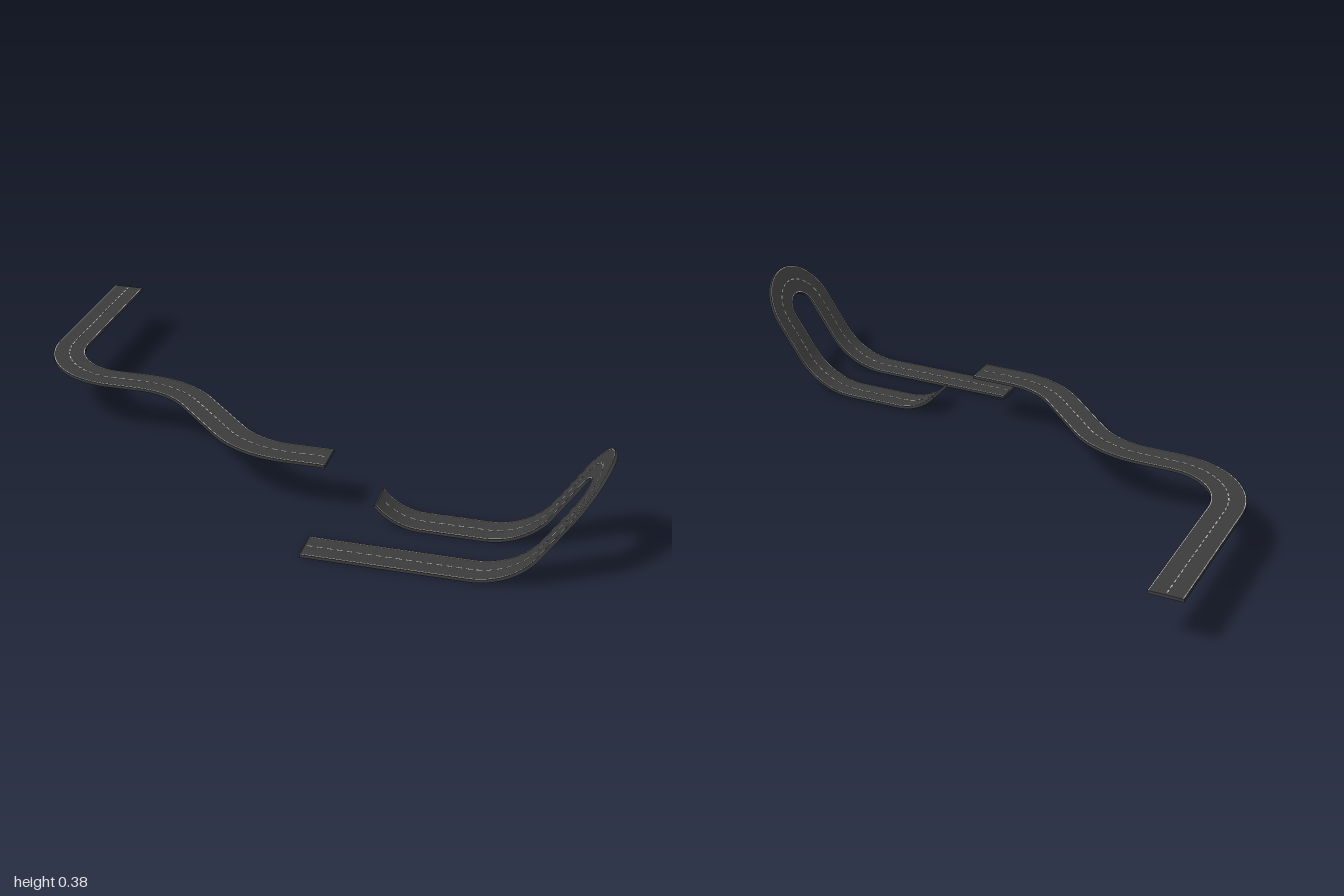
import * as THREE from 'three';
import { toCreasedNormals } from 'three/addons/utils/BufferGeometryUtils.js';

const HALF = 0.054, THICK = 0.01;
const asphalt = new THREE.MeshStandardMaterial({ color: 0x3c3c3c });
const paint = new THREE.MeshStandardMaterial({ color: 0xb8b8b8 });
const rad = THREE.MathUtils.degToRad;

// Segments: straight run, sideways turn (left positive), upward bend
const straight = (len) => ({ kind: 'straight', len });
const turn = (deg, r) => ({ kind: 'turn', angle: rad(deg), r, len: rad(Math.abs(deg)) * r });
const climb = (deg, r) => ({ kind: 'climb', angle: rad(deg), r, len: rad(Math.abs(deg)) * r });

// Move a frame {p, t, u} part-way (0..1) along a segment
function advance({ p, t, u }, seg, f) {
  if (seg.kind === 'straight') return { p: p.clone().addScaledVector(t, seg.len * f), t, u };
  const left = u.clone().cross(t);
  const sign = Math.sign(seg.angle);
  const inward = (seg.kind === 'turn' ? left : u).clone().multiplyScalar(sign);
  const axis = seg.kind === 'turn' ? u : left.clone().negate();
  const a = seg.angle * f;
  const centre = p.clone().addScaledVector(inward, seg.r);
  return {
    p: p.clone().sub(centre).applyAxisAngle(axis, a).add(centre),
    t: t.clone().applyAxisAngle(axis, a),
    u: u.clone().applyAxisAngle(axis, a),
  };
}

// Path with a frame lookup by distance
function makePath(start, heading, segments) {
  let frame = { p: start, t: heading, u: new THREE.Vector3(0, 1, 0) };
  let total = 0;
  const pieces = segments.map((seg) => {
    const piece = { seg, frame, from: total };
    frame = advance(frame, seg, 1);
    total += seg.len;
    return piece;
  });
  const at = (s) => {
    const piece = pieces.findLast((q) => q.from <= s) ?? pieces[0];
    return advance(piece.frame, piece.seg, Math.min(1, (s - piece.from) / piece.seg.len));
  };
  return { at, total };
}

// Triangles of a closed cross-section [side, height] swept from s0 to s1
function sweep(path, s0, s1, profile, out = []) {
  const n = Math.max(1, Math.ceil((s1 - s0) / 0.01));
  const rings = [];
  for (let i = 0; i <= n; i++) {
    const { p, t, u } = path.at(s0 + ((s1 - s0) * i) / n);
    const left = u.clone().cross(t);
    rings.push(profile.map(([a, h]) => p.clone().addScaledVector(left, a).addScaledVector(u, h)));
  }
  const quad = (a, b, c, d) => [a, b, c, a, c, d].forEach((v) => out.push(v.x, v.y, v.z));
  for (let i = 0; i < n; i++) {
    for (let j = 0; j < 4; j++) {
      const k = (j + 1) % 4;
      quad(rings[i][j], rings[i][k], rings[i + 1][k], rings[i + 1][j]);
    }
  }
  const [first, last] = [rings[0], rings[n]];
  quad(first[3], first[2], first[1], first[0]);
  quad(last[0], last[1], last[2], last[3]);
  return out;
}

function mesh(name, positions, material) {
  const g = new THREE.BufferGeometry();
  g.setAttribute('position', new THREE.Float32BufferAttribute(positions, 3));
  const m = new THREE.Mesh(toCreasedNormals(g, rad(35)), material);
  m.name = name;
  return m;
}

const section = (mid, half, top, bottom) =>
  [[mid + half, top], [mid - half, top], [mid - half, bottom], [mid + half, bottom]];

function makeRoad(name, path) {
  const road = new THREE.Group();
  road.name = name;
  road.add(mesh('roadSlab', sweep(path, 0, path.total, section(0, HALF, 0, -THICK)), asphalt));
  // Edge lines
  for (const side of [1, -1]) {
    const line = sweep(path, 0, path.total, section(side * 0.0505, 0.0011, 0.0006, -0.001));
    road.add(mesh(side > 0 ? 'leftEdgeLine' : 'rightEdgeLine', line, paint));
  }
  // Dashed centre line
  const dashes = [];
  for (let s = 0.008; s + 0.018 < path.total; s += 0.03) {
    sweep(path, s, s + 0.018, section(0, 0.0017, 0.0006, -0.001), dashes);
  }
  road.add(mesh('centreDashes', dashes, paint));
  return road;
}

export function createModel() {
  const model = new THREE.Group();
  model.name = 'roadTrack';

  // Level winding road
  model.add(makeRoad('upperRoad', makePath(
    new THREE.Vector3(-0.945, 0.187, -0.695), new THREE.Vector3(0, 0, 1),
    [straight(0.515), turn(90, 0.235), straight(0.11), turn(-45, 0.308),
      straight(0.233), turn(45, 0.308), straight(0.132)])));

  // Ground road climbing to a tilted hairpin, returning to a curled ramp
  model.add(makeRoad('lowerRoad', makePath(
    new THREE.Vector3(0.12, THICK, 0.635), new THREE.Vector3(1, 0, 0),
    [straight(0.5), climb(56, 0.243), straight(0.141), turn(180, 0.1165),
      straight(0.141), climb(56, 0.243), straight(0.19), climb(50, 0.18)])));
  return model;
}
